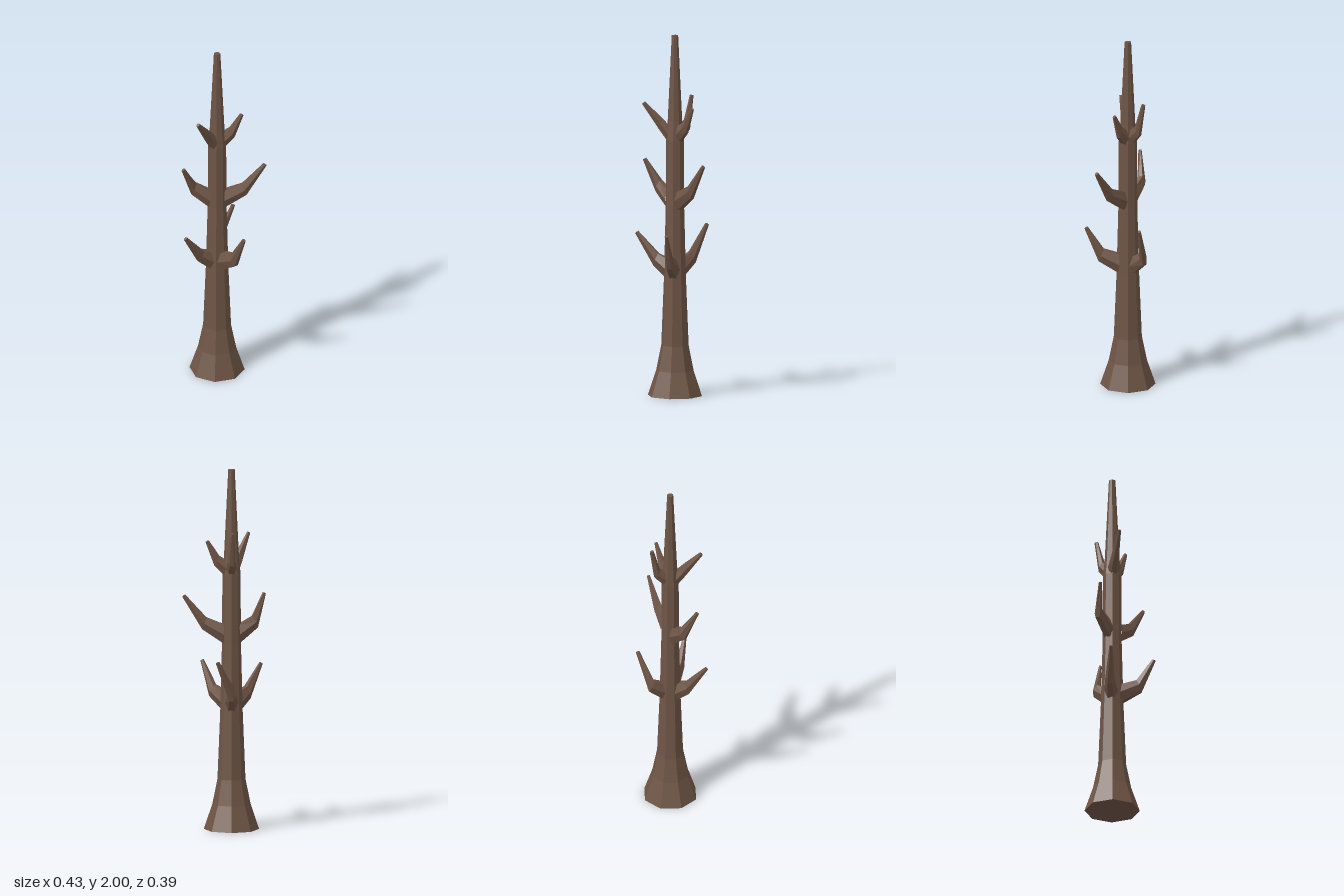
import * as THREE from 'three';

const CX = 0.008, CZ = -0.042; // trunk axis
const SIDES = 6;

// Bent, tapering branch: rings at the trunk, the elbow and the tip, closed at the tip
function branchGeometry(baseY, elbow, tip, size) {
  const e = new THREE.Vector3(...elbow), t = new THREE.Vector3(...tip);
  const out = new THREE.Vector3(e.x - CX, 0, e.z - CZ).normalize();
  const base = new THREE.Vector3(CX, baseY, CZ).addScaledVector(out, 0.044 * size);
  const tipDir = t.clone().sub(e).normalize();
  const elbowDir = out.clone().multiplyScalar(1.6).add(tipDir).normalize();
  const rings = [
    { c: base, dir: out, w: 0.038 * size, h: 0.055 * size },
    { c: e, dir: elbowDir, w: 0.026 * size, h: 0.036 * size },
    { c: t.addScaledVector(tipDir, -0.006), dir: tipDir, w: 0.009, h: 0.01 },
  ];
  const pos = [], idx = [];
  for (const { c, dir, w, h } of rings) {
    const side = new THREE.Vector3(0, 1, 0).cross(dir).normalize();
    const up = dir.clone().cross(side);
    for (let j = 0; j < SIDES; j++) {
      const a = (j / SIDES) * Math.PI * 2;
      const p = c.clone().addScaledVector(side, Math.cos(a) * w)
        .addScaledVector(up, Math.sin(a) * h / Math.sin(Math.PI / 3));
      pos.push(p.x, p.y, p.z);
    }
  }
  for (let i = 0; i < rings.length - 1; i++) {
    for (let j = 0; j < SIDES; j++) {
      const k = (j + 1) % SIDES, a = i * SIDES, b = a + SIDES;
      idx.push(a + j, a + k, b + k, a + j, b + k, b + j);
    }
  }
  const last = (rings.length - 1) * SIDES;
  for (let j = 1; j < SIDES - 1; j++) idx.push(last, last + j, last + j + 1);
  const g = new THREE.BufferGeometry();
  g.setAttribute('position', new THREE.Float32BufferAttribute(pos, 3));
  g.setIndex(idx);
  const flat = g.toNonIndexed();
  flat.computeVertexNormals();
  return flat;
}

export function createModel() {
  const group = new THREE.Group();
  const bark = new THREE.MeshStandardMaterial({ color: 0x6f5546, flatShading: true });
  bark.name = 'bark';

  // Eight-sided trunk with a flared foot and a blunt top
  const profile = [
    [0, 0], [0.152, 0], [0.105, 0.14], [0.077, 0.28], [0.062, 0.65],
    [0.052, 1.04], [0.05, 1.42], [0.041, 1.52], [0.018, 2], [0, 2],
  ].map(([r, y]) => new THREE.Vector2(r, y));
  const trunk = new THREE.Mesh(new THREE.LatheGeometry(profile, 8), bark);
  trunk.name = 'trunk';
  trunk.position.set(CX, 0, CZ);
  group.add(trunk);

  // Branches in three tiers: name, base height, elbow, tip, size
  const branches = [
    ['lowerFrontBranch', 0.705, [0.008, 0.755, 0.105], [0.008, 0.92, 0.19], 1],
    ['lowerBackLeftBranch', 0.705, [0.088, 0.76, -0.125], [0.178, 0.955, -0.103], 0.95],
    ['lowerRightBranch', 0.705, [-0.1, 0.75, -0.057], [-0.213, 0.905, -0.053], 1],
    ['middleFrontLeftBranch', 1.085, [0.118, 1.145, 0.06], [0.207, 1.305, 0.135], 0.95],
    ['middleBackRightBranch', 1.085, [-0.098, 1.15, -0.118], [-0.18, 1.305, -0.11], 0.95],
    ['upperRightBranch', 1.455, [-0.07, 1.51, -0.027], [-0.164, 1.63, -0.004], 0.85],
    ['upperFrontLeftBranch', 1.455, [0.076, 1.495, 0.004], [0.123, 1.61, 0.035], 0.85],
    ['upperBackBranch', 1.455, [0.064, 1.5, -0.098], [0.085, 1.665, -0.128], 0.8],
  ];
  for (const [name, baseY, elbow, tip, size] of branches) {
    const mesh = new THREE.Mesh(branchGeometry(baseY, elbow, tip, size), bark);
    mesh.name = name;
    group.add(mesh);
  }
  return group;
}
